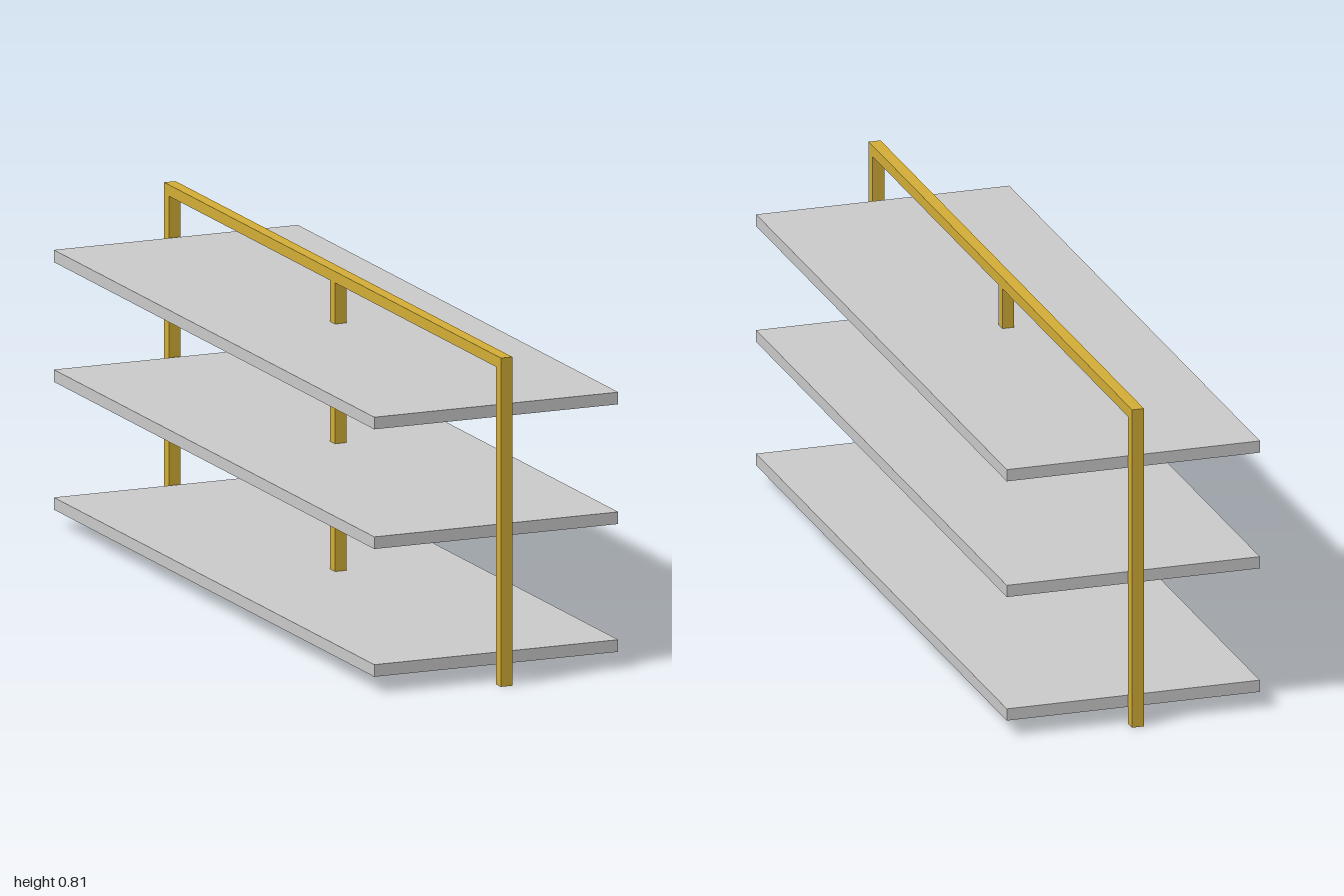
import * as THREE from 'three';

export function createModel() {
  const model = new THREE.Group();
  const gold = new THREE.MeshStandardMaterial({ color: 0xd4af37 });
  const grey = new THREE.MeshStandardMaterial({ color: 0xcccccc });

  // Box given by its size, the height of its underside and its z centre
  const addBox = (name, material, [w, h, d], bottom, z) => {
    const mesh = new THREE.Mesh(new THREE.BoxGeometry(w, h, d), material);
    mesh.name = name;
    mesh.position.set(0, bottom + h / 2, z);
    model.add(mesh);
  };

  const bar = 0.03;
  const height = 0.813;
  const beamHeight = 0.028;

  // Three upright posts carrying one long top beam
  const posts = { frontPost: 1 - bar / 2, middlePost: 0, backPost: -1 + bar / 2 };
  for (const [name, z] of Object.entries(posts)) {
    addBox(name, gold, [bar, height - beamHeight, bar], 0, z);
  }
  addBox('topBeam', gold, [bar, beamHeight, 2], height - beamHeight, 0);

  // Three wide shelves, set slightly towards the back post
  const shelves = { bottomShelf: 0.041, middleShelf: 0.357, topShelf: 0.653 };
  for (const [name, y] of Object.entries(shelves)) {
    addBox(name, grey, [0.642, 0.03, 1.903], y, -0.013);
  }

  return model;
}
